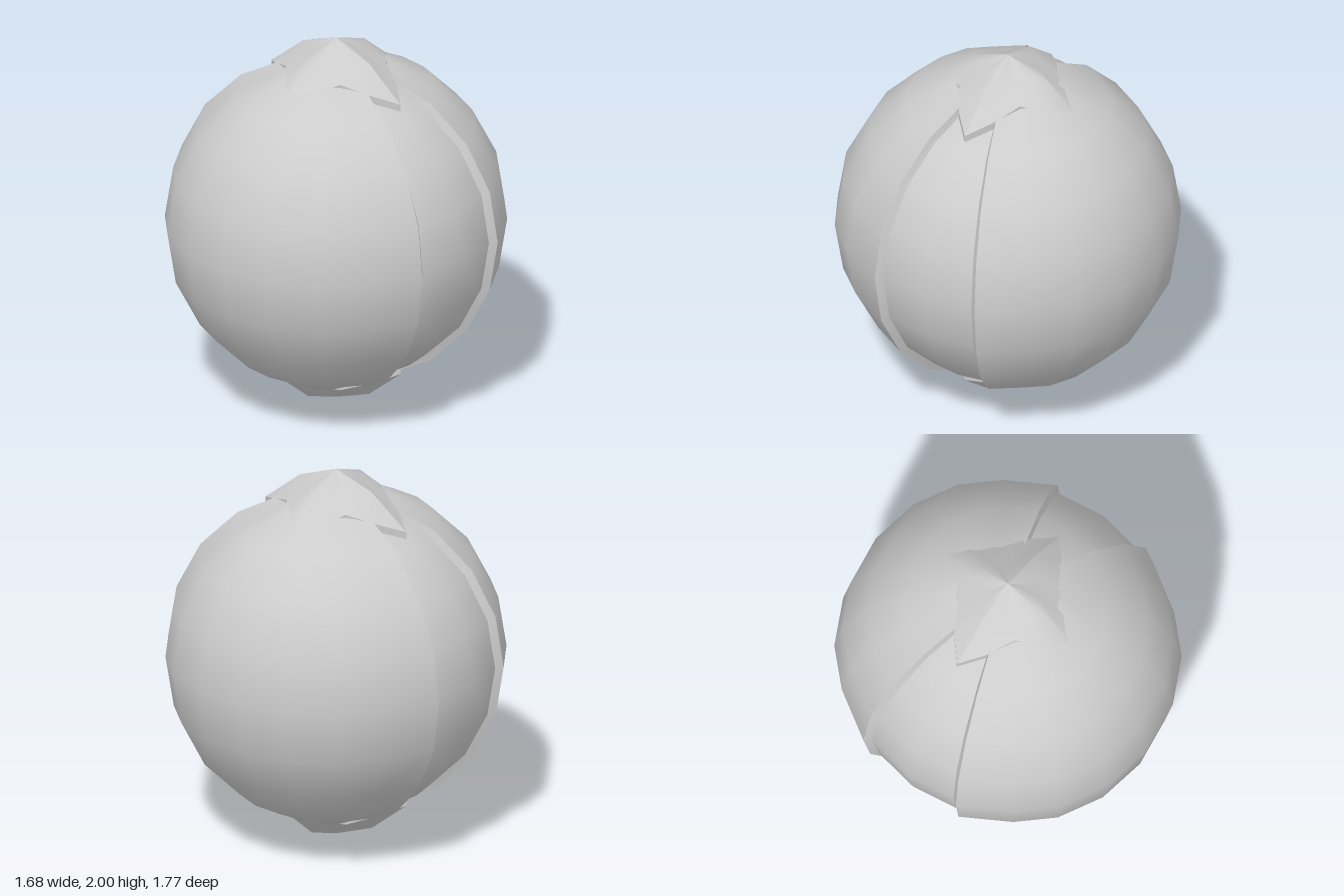
import * as THREE from 'three';

const rad = THREE.MathUtils.degToRad;

// Grid surface through point(i, j), smooth inside and hard at its borders
function surface(nu, nv, point) {
  const pos = [], index = [];
  for (let j = 0; j < nv; j++) for (let i = 0; i < nu; i++) pos.push(...point(i, j));
  for (let j = 0; j < nv - 1; j++) for (let i = 0; i < nu - 1; i++) {
    const a = j * nu + i, b = a + 1, c = a + nu, d = c + 1;
    index.push(a, c, b, b, c, d);
  }
  const geo = new THREE.BufferGeometry();
  geo.setAttribute('position', new THREE.Float32BufferAttribute(pos, 3));
  geo.setIndex(index);
  geo.computeVertexNormals();
  return geo;
}

// Sweeps an equator outline of [angle, radius] from pole to pole
function gore(outline) {
  return surface(outline.length, 11, (i, j) => {
    const [deg, r] = outline[i], lat = rad(-90 + j * 18), a = rad(deg);
    const c = r * Math.cos(lat);
    return [c * Math.cos(a), r * Math.sin(lat), c * Math.sin(a)];
  });
}

export function createModel() {
  const model = new THREE.Group();
  const body = new THREE.Group();
  body.position.y = 1;
  model.add(body);
  const grey = new THREE.MeshStandardMaterial({ color: 0xcccccc });
  grey.name = 'plain grey';
  const add = (parent, name, geo) => {
    const mesh = new THREE.Mesh(geo, grey);
    mesh.name = name;
    parent.add(mesh);
  };

  // Inner ball, seen as the recessed side bands
  add(body, 'innerBall', new THREE.SphereGeometry(0.84, 20, 10));

  // Front and back shells with narrow bevelled rims
  const quarter = [[19.6, 0.878], [39, 0.869], [54.7, 0.882], [72, 0.885]];
  const flip = ([a, r]) => [180 - a, r];
  const face = [...quarter, [90, 0.885], ...quarter.map(flip).reverse()];
  const rim = [[17.7, 0.834], quarter[0]];
  for (const side of ['front', 'back']) {
    const shell = new THREE.Group();
    shell.name = side + 'Shell';
    shell.rotation.y = side === 'front' ? 0 : Math.PI;
    add(shell, 'shellFace', gore(face));
    add(shell, 'leftRim', gore(rim));
    add(shell, 'rightRim', gore(rim.map(flip).reverse()));
    body.add(shell);
  }

  // Four-pointed star caps: spokes run outline, middle, centre as [radius, height]
  const tip = [[0.43, 0.75], [0.22, 0.92], [0, 1]];
  const flank = [[0.335, 0.8], [0.17, 0.928], [0, 1]];
  const valley = [[0.255, 0.85], [0.127, 0.925], [0, 1]];
  const spokes = [[0, tip], [17.3, flank], [45, valley], [72.7, flank], [90, tip],
    [107.3, flank], [135, valley], [162.7, flank], [180, tip]];
  const at = (i, ring, drop = 0) => {
    const [deg, spoke] = spokes[i], [r, y] = spoke[ring];
    return [r * Math.cos(rad(deg)), y - drop, r * Math.sin(rad(deg))];
  };
  const capHalf = surface(9, 3, (i, j) => at(i, j));
  const skirt = surface(9, 2, (i, j) => at(i, 0, j ? 0 : 0.06)).toNonIndexed();
  skirt.computeVertexNormals();
  for (const end of ['top', 'bottom']) {
    const cap = new THREE.Group();
    cap.name = end + 'StarCap';
    cap.rotation.x = end === 'top' ? 0 : Math.PI;
    for (const turn of [0, Math.PI]) {
      const half = new THREE.Group();
      half.name = 'capHalf';
      half.rotation.y = turn;
      add(half, 'starFace', capHalf);
      add(half, 'starEdge', skirt);
      cap.add(half);
    }
    body.add(cap);
  }
  return model;
}
